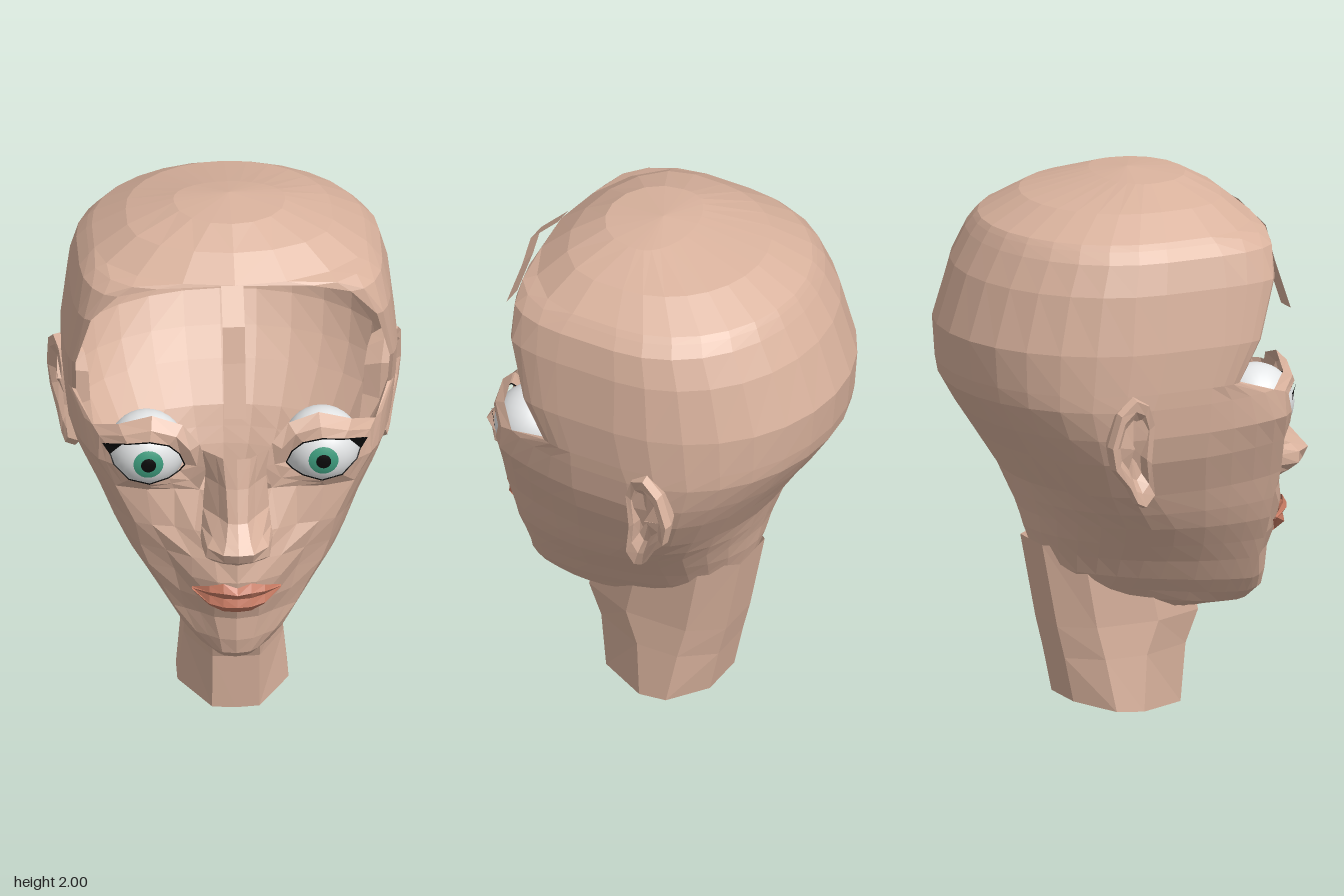
import * as THREE from 'three';

const mat = (name, color, side = THREE.DoubleSide) => {
  const m = new THREE.MeshStandardMaterial({ color, side });
  m.name = name;
  return m;
};

// Faceted grid surface through rows of [x, y, z] points; s = -1 mirrors it in x.
function loft(rows, s = 1, closed = false) {
  const pos = [];
  const put = (...pts) => {
    if (s < 0) pts.reverse();
    pts.forEach(([x, y, z]) => pos.push(x * s, y, z));
  };
  for (let i = 0; i < rows.length - 1; i++) {
    const n = rows[i].length;
    for (let j = 0; j < (closed ? n : n - 1); j++) {
      const k = (j + 1) % n;
      const a = rows[i][j], b = rows[i + 1][j], c = rows[i + 1][k], d = rows[i][k];
      put(a, b, d);
      put(b, c, d);
    }
  }
  const g = new THREE.BufferGeometry();
  g.setAttribute('position', new THREE.Float32BufferAttribute(pos, 3));
  g.computeVertexNormals();
  return g;
}

export function createModel() {
  const root = new THREE.Group();
  root.name = 'head';
  const skin = mat('skin', 0xd9b29d);
  const lip = mat('lips', 0xc97c64);
  const white = mat('eyeWhite', 0xe9ebec, THREE.FrontSide);
  const green = mat('irisGreen', 0x3f9f80, THREE.FrontSide);
  const black = mat('black', 0x0a0a0a);

  const add = (name, geo, m, parent = root) => {
    const mesh = new THREE.Mesh(geo, m);
    mesh.name = name;
    parent.add(mesh);
  };
  const pair = (name, rows, m, closed, parent) => {
    add(name + 'Left', loft(rows, 1, closed), m, parent);
    add(name + 'Right', loft(rows, -1, closed), m, parent);
  };

  // Skull shell: y, front edge x and z, half width, widest z front and back, back z
  const skullRows = [
    [2.0, 0, 0, 0, 0, 0, 0],
    [1.98, 0, 0.21, 0.2, 0.03, 0, -0.12],
    [1.92, 0, 0.32, 0.37, 0.08, -0.04, -0.39],
    [1.84, 0, 0.42, 0.49, 0.1, -0.08, -0.54],
    [1.82, 0.28, 0.395, 0.51, 0.11, -0.09, -0.555],
    [1.78, 0.42, 0.37, 0.545, 0.12, -0.1, -0.58],
    [1.67, 0.515, 0.34, 0.575, 0.12, -0.12, -0.64],
    [1.46, 0.565, 0.26, 0.6, 0.1, -0.13, -0.71],
    [1.31, 0.56, 0.18, 0.597, 0.05, -0.16, -0.695],
    [1.25, 0.51, 0.34, 0.593, 0.05, -0.18, -0.68],
    [1.14, 0.49, 0.4, 0.58, 0.05, -0.18, -0.61],
    [1.04, 0.43, 0.42, 0.55, 0.05, -0.17, -0.54],
    [0.9, 0.36, 0.44, 0.48, 0.08, -0.13, -0.45],
    [0.8, 0.34, 0.42, 0.44, 0.1, -0.06, -0.425],
    [0.72, 0.31, 0.42, 0.4, 0.12, 0, -0.405],
    [0.63, 0.26, 0.42, 0.34, 0.14, 0.02, -0.39],
    [0.55, 0.22, 0.42, 0.285, 0.15, 0.02, -0.37],
    [0.46, 0.17, 0.42, 0.23, 0.16, 0.02, -0.35],
    [0.4, 0.12, 0.42, 0.185, 0.16, 0, -0.335],
    [0.36, 0.08, 0.4, 0.155, 0.16, 0, -0.31],
    [0.345, 0, 0.24, 0.1, 0.12, 0, -0.25],
  ].map(([y, xF, zF, w, zA, zC, zB]) => {
    const row = [];
    const k = y > 1.3 ? 1 : 0.45; // roundness of the front corner
    const tilt = 0.17 * Math.max(0, (0.9 - y) / 0.54); // jaw rises towards the nape
    const put = (x, z) => row.push([x, y + tilt * (zF - z), z]);
    for (let i = 0; i <= 4; i++) {
      const u = i / 4, t = u * Math.PI / 2;
      const fx = k * Math.sin(t) + (1 - k) * u, fz = k * Math.cos(t) + (1 - k) * (1 - u);
      put(xF + (w - xF) * fx, zA + (zF - zA) * fz);
    }
    for (let i = 0; i <= 7; i++) {
      const t = i / 7 * Math.PI / 2;
      put(w * Math.cos(t), zC + (zB - zC) * Math.sin(t));
    }
    return row;
  });
  pair('skull', skullRows, skin);

  // Cheeks, mouth area and chin: y, then x, z pairs from the middle outwards
  const faceRows = [
    [1.04, 0.1, 0.48, 0.13, 0.465, 0.22, 0.455, 0.32, 0.455, 0.43, 0.42],
    [0.9, 0.08, 0.54, 0.15, 0.515, 0.22, 0.48, 0.3, 0.465, 0.36, 0.44],
    [0.8, 0, 0.585, 0.08, 0.56, 0.16, 0.53, 0.25, 0.47, 0.34, 0.42],
    [0.72, 0, 0.59, 0.07, 0.58, 0.16, 0.53, 0.22, 0.465, 0.31, 0.42],
    [0.63, 0, 0.575, 0.08, 0.555, 0.14, 0.51, 0.2, 0.46, 0.26, 0.42],
    [0.55, 0, 0.54, 0.08, 0.52, 0.13, 0.48, 0.18, 0.445, 0.22, 0.42],
    [0.46, 0, 0.535, 0.06, 0.52, 0.1, 0.49, 0.14, 0.46, 0.17, 0.42],
    [0.4, 0, 0.52, 0.05, 0.51, 0.08, 0.48, 0.1, 0.45, 0.12, 0.42],
    [0.36, 0, 0.47, 0.04, 0.46, 0.06, 0.44, 0.07, 0.42, 0.08, 0.4],
    [0.345, 0, 0.24, 0, 0.24, 0, 0.24, 0, 0.24, 0, 0.24],
  ].map(([y, ...p]) => [0, 2, 4, 6, 8].map((i) => [p[i], y, p[i + 1]]));
  pair('cheek', faceRows, skin);

  // Nose: y, ridge z, ridge half width, wing x and z, base x and z
  const noseRows = [
    [1.21, 0.565, 0.05, 0.075, 0.53, 0.12, 0.485],
    [1.1, 0.59, 0.04, 0.065, 0.54, 0.11, 0.48],
    [0.98, 0.63, 0.035, 0.065, 0.57, 0.12, 0.49],
    [0.92, 0.68, 0.045, 0.09, 0.61, 0.125, 0.52],
    [0.89, 0.705, 0.055, 0.11, 0.635, 0.13, 0.54],
    [0.85, 0.685, 0.05, 0.115, 0.63, 0.125, 0.54],
    [0.82, 0.64, 0.025, 0.09, 0.6, 0.11, 0.545],
    [0.79, 0.585, 0.02, 0.05, 0.57, 0.08, 0.55],
  ].map(([y, z, r, wx, wz, bx, bz]) => [[0, y, z], [r, y, z - 0.008], [wx, y, wz], [bx, y, bz]]);
  pair('nose', noseRows, skin);

  // Forehead strip
  const stripRows = [[1.84, 0.42], [1.73, 0.53], [1.6, 0.565], [1.41, 0.63]]
    .map(([y, z]) => [[-0.05, y, z], [0.03, y, z]]);
  add('foreheadStrip', loft(stripRows), skin);

  // Eye sockets: brow and cheek loop, lid fold (raised at the top), almond opening
  const orbit = [
    [0.1, 1.14, 0.49], [0.13, 1.23, 0.48], [0.19, 1.3, 0.46], [0.3, 1.335, 0.45],
    [0.42, 1.29, 0.42], [0.51, 1.25, 0.34], [0.49, 1.14, 0.4], [0.43, 1.04, 0.42],
    [0.32, 1.04, 0.455], [0.22, 1.04, 0.455], [0.13, 1.04, 0.465],
  ];
  const almond = [
    [0.18, 1.14, 0.46], [0.2, 1.19, 0.47], [0.24, 1.235, 0.49], [0.31, 1.255, 0.5],
    [0.39, 1.24, 0.48], [0.465, 1.213, 0.42], [0.44, 1.14, 0.445], [0.385, 1.085, 0.465],
    [0.31, 1.07, 0.478], [0.24, 1.09, 0.47], [0.2, 1.115, 0.46],
  ];
  const fold = orbit.map((p, i) => p.map((v, a) =>
    (v + almond[i][a]) / 2 + (a === 2 && p[1] > 1.2 ? 0.015 : 0)));
  pair('eyeSocket', [orbit, fold, almond], skin, true);

  // Dark lash rims with a small pointed outer corner
  const lash = almond.map(([x, y, z]) => [0.32 + (x - 0.32) * 0.96, 1.16 + (y - 1.16) * 0.94, z]);
  pair('lashRim', [almond, lash], black, true);
  pair('lashTip', [
    [[0.41, 1.236, 0.478], [0.478, 1.218, 0.428]],
    [[0.425, 1.215, 0.462], [0.452, 1.18, 0.442]],
  ], black);

  // Eyeballs with iris and pupil caps
  for (const s of [1, -1]) {
    const eye = new THREE.Group();
    eye.name = s > 0 ? 'eyeLeft' : 'eyeRight';
    eye.position.set(s * 0.315, 1.16, 0.36);
    eye.rotation.x = Math.PI / 2;
    root.add(eye);
    add('eyeball', new THREE.SphereGeometry(0.14, 28, 20), white, eye);
    add('iris', new THREE.SphereGeometry(0.142, 24, 6, 0, Math.PI * 2, 0, 0.39), green, eye);
    add('pupil', new THREE.SphereGeometry(0.144, 20, 4, 0, Math.PI * 2, 0, 0.19), black, eye);
  }

  // Lips: x, then y and z of the top, front and bottom of each lip
  const lipRows = (cols) => [0, 2, 4].map((i) => cols.map(([x, ...p]) => [x, p[i], p[i + 1]]));
  pair('upperLip', lipRows([
    [0, 0.705, 0.6, 0.685, 0.622, 0.66, 0.6],
    [0.05, 0.722, 0.595, 0.69, 0.613, 0.662, 0.595],
    [0.1, 0.705, 0.575, 0.685, 0.588, 0.665, 0.57],
    [0.16, 0.675, 0.515, 0.672, 0.525, 0.67, 0.51],
  ]), lip);
  pair('lowerLip', lipRows([
    [0, 0.66, 0.6, 0.63, 0.61, 0.59, 0.565],
    [0.05, 0.662, 0.595, 0.63, 0.603, 0.592, 0.558],
    [0.1, 0.665, 0.57, 0.635, 0.58, 0.61, 0.54],
    [0.16, 0.67, 0.51, 0.668, 0.525, 0.665, 0.505],
  ]), lip);

  // Ears: one outline scaled into base, rim and hollow
  const outline = [
    [-0.17, 1.2], [-0.2, 1.28], [-0.26, 1.31], [-0.33, 1.26], [-0.37, 1.14], [-0.35, 1.05],
    [-0.28, 0.97], [-0.24, 0.9], [-0.2, 0.88], [-0.16, 0.92], [-0.18, 1.05],
  ];
  const earLoop = (k, dx) => outline.map(([z, y]) => [
    0.57 + 0.25 * (-z - 0.17) + 0.06 * (y - 1.1) + dx,
    1.12 + (y - 1.12) * k, -0.26 + (z + 0.26) * k,
  ]);
  pair('ear', [earLoop(0.8, -0.08), earLoop(1, -0.02), earLoop(0.95, 0.015),
    earLoop(0.74, 0.01), earLoop(0.55, -0.015), earLoop(0, -0.015)], skin, true);

  // Open neck with a slanted lower rim: y, front z, back z, half width
  const neck = new THREE.Group();
  neck.name = 'neck';
  neck.position.x = 0.015;
  root.add(neck);
  const neckRows = [
    [0.65, 0.18, -0.375, 0.18], [0.34, 0.25, -0.315, 0.172],
    [0.22, 0.2, -0.285, 0.18], [0, 0.18, -0.25, 0.2],
  ].map(([y, f, b, w]) => {
    const lift = y === 0 ? 0.055 : 0;
    return [[0, y, f], [0.085, y + lift * 0.1, f], [w, y + lift * 0.3, f - 0.2],
      [w, y + lift * 0.5, b + 0.12], [0.09, y + lift, b], [0, y + lift, b]];
  });
  pair('neck', neckRows, skin, false, neck);

  return root;
}
